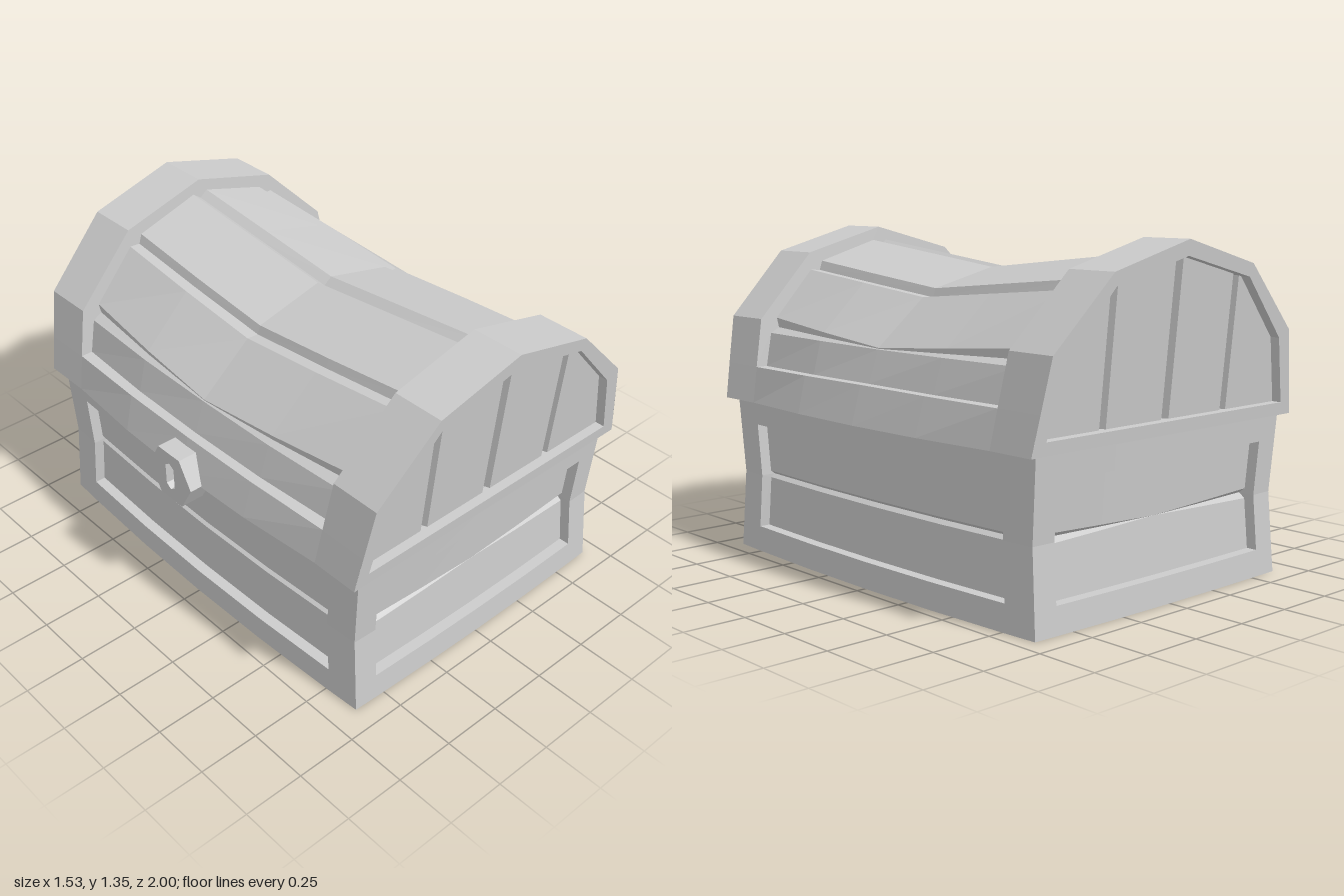
import * as THREE from 'three';

const material = new THREE.MeshStandardMaterial({ color: 0xcccccc, flatShading: true, side: THREE.DoubleSide });
const lerp = THREE.MathUtils.lerp;

// Faceted patch from a rule point(i, j); collapsed triangles are left out
function grid(cols, rows, point) {
  const pos = [];
  const tri = (...p) => {
    const [a, b, c] = p.map((q) => new THREE.Vector3(...q));
    if (b.sub(a).cross(c.sub(a)).length() > 1e-7) pos.push(...p.flat());
  };
  for (let i = 0; i < cols - 1; i++) {
    for (let j = 0; j < rows - 1; j++) {
      const a = point(i, j), b = point(i + 1, j), c = point(i + 1, j + 1), d = point(i, j + 1);
      tri(a, b, c);
      tri(a, c, d);
    }
  }
  const geo = new THREE.BufferGeometry();
  geo.setAttribute('position', new THREE.Float32BufferAttribute(pos, 3));
  geo.computeVertexNormals();
  return geo;
}

function add(parent, name, geo, turn = 0) {
  const mesh = new THREE.Mesh(geo, material);
  mesh.name = name;
  mesh.rotation.y = turn;
  parent.add(mesh);
  return mesh;
}

// Flat underside spanning half an outline and its half-turn copy
function underside(half) {
  const ring = [...half, ...half.map(([x, y, z]) => [-x, y, -z]), half[0]];
  return grid(ring.length, 2, (i, j) => (j ? ring[i] : [0, ring[0][1], 0]));
}

// ---- Body: four bulging walls, each with a sunken, grooved panel ----
const waist = (y) => Math.abs(y - 0.32) / 0.32;
const halfWidth = (y) => 0.65 + 0.01 * waist(y);
const halfLength = (y) => 0.88 + 0.025 * waist(y);
const endWall = (u, y, d) => [u * halfWidth(y), y, halfLength(y) + 0.012 * (1 - u * u) - d];
const sideWall = (u, y, d) => [halfWidth(y) + 0.032 * (1 - u * u) - d, y, -u * halfLength(y)];
const WALL_U = [-1, -0.845, -0.845, -0.42, 0, 0.42, 0.845, 0.845, 1];
const WALL_Y = [0, 0.105, 0.105, 0.325, 0.325, 0.325, 0.54, 0.54, 0.64];

function wallGeometry(wall, grooveAt) {
  return grid(WALL_U.length, WALL_Y.length, (i, j) => {
    const u = WALL_U[i];
    const inside = i > 1 && i < 7 && j > 1 && j < 7;
    const groove = inside ? grooveAt(u) : 0;
    const y = WALL_Y[j] + (j > 2 && j < 6 ? (j - 4) * 0.02 * groove : 0);
    return wall(u, y, inside ? 0.045 + (j === 4 ? 0.025 * groove : 0) : 0);
  });
}

function buildBody() {
  const body = new THREE.Group();
  body.name = 'body';
  const endGeo = wallGeometry(endWall, (u) => Math.abs(u) / 0.845);
  const sideGeo = wallGeometry(sideWall, () => 0.7);
  add(body, 'frontWall', endGeo);
  add(body, 'backWall', endGeo, Math.PI);
  add(body, 'leftWall', sideGeo);
  add(body, 'rightWall', sideGeo, Math.PI);
  add(body, 'floor', underside([
    ...WALL_U.map((u) => endWall(u, 0, 0)),
    ...WALL_U.map((u) => sideWall(u, 0, 0)),
  ]));
  return body;
}

// ---- Lid: arched end bands, side rims and sagging planks between ----
const mirrored = (pts) => [...pts.map(([x, y]) => [-x, y]), ...pts.slice(0, -1).reverse()];
const BAND = mirrored([[0.705, 0.64], [0.678, 0.785], [0.64, 0.98], [0.375, 1.245], [0, 1.345]]);
const RIM_MID = [[0.743, 0.64], [0.7, 0.79]];
const PLANK_END = mirrored([[0.628, 0.785], [0.588, 0.955], [0.35, 1.198], [0, 1.298]]);
const PLANK_MID = mirrored([[0.66, 0.79], [0.615, 0.92], [0.365, 1.125], [0, 1.213]]);
const lidLength = (y) => 0.93 + 0.07 * (y - 0.64) / 0.705;
const LID_U = [-1, -0.78, -0.78, -0.39, 0, 0.39, 0.78, 0.78, 1];
const sag = (u) => Math.max(0, 1 - Math.abs(u) / 0.78);
const bulge = (u) => 1 - (1 - sag(u)) ** 2;
const blend = (a, b, u) => [lerp(a[0], b[0], bulge(u)), lerp(a[1], b[1], sag(u))];

// Plank cross-section at u, with a V groove at every corner of the arch
function plankProfile(u) {
  const pts = PLANK_END.map((p, k) => blend(p, PLANK_MID[k], u));
  const toward = (a, b, d) => {
    const f = d / Math.hypot(b[0] - a[0], b[1] - a[1]);
    return [lerp(a[0], b[0], f), lerp(a[1], b[1], f)];
  };
  return pts.flatMap((p, k) => {
    if (k === 0 || k === 6) return [p];
    const size = k === 1 || k === 5 ? 1 - 0.9 * sag(u) : 1;
    return [toward(p, pts[k - 1], 0.036 * size), toward(p, [0, 0.7], 0.035 * size), toward(p, pts[k + 1], 0.036 * size)];
  });
}

function lidShell() {
  const last = BAND.length - 1;
  const outer = BAND.flatMap((p, k) => (k === 0 || k === last ? [p] : k === 1 || k === last - 1 ? [p, p] : [p, p, p]));
  const n = outer.length;
  const profiles = LID_U.map(plankProfile);
  return grid(LID_U.length, n, (i, j) => {
    const u = LID_U[i];
    let p = outer[j];
    if (i > 1 && i < 7) {
      if (j > 1 && j < n - 2) p = profiles[i][j - 2];
      else {
        const rim = RIM_MID[Math.min(j, n - 1 - j)];
        p = blend(p, [Math.sign(p[0]) * rim[0], rim[1]], u);
      }
    }
    return [p[0], p[1], u * lidLength(p[1])];
  });
}

// End of the lid: arched frame, then recessed boards split by grooves
const ARCH = mirrored([[0.64, 0.69], [0.583, 0.95], [0.36, 1.195], [0, 1.285]]);
function archFrame() {
  const outer = BAND.filter((p, k) => k !== 1 && k !== BAND.length - 2).reverse();
  const inner = [...ARCH].reverse();
  return grid(8, 3, (i, j) => {
    const [x, y] = (j ? inner : outer)[i % 7];
    return [x, y, lidLength(y) - (j === 2 ? 0.08 : 0)];
  });
}

function archHeight(x) {
  const k = Math.max(1, ARCH.findIndex((p) => p[0] >= x));
  const [a, b] = [ARCH[k - 1], ARCH[k]];
  return lerp(a[1], b[1], (x - a[0]) / (b[0] - a[0]));
}

function archBoards() {
  const half = [[0.64, 0], [0.583, 0], [0.36, 0], [0.346, 0], [0.335, 1], [0.325, 1], [0.312, 0], [0.02, 0], [0.008, 1]];
  const cols = [...half.map(([x, g]) => [-x, g]), ...half.reverse()];
  return grid(cols.length, 2, (i, j) => {
    const [x, groove] = cols[i];
    const y = j ? archHeight(x) : 0.69;
    return [x, y, lidLength(y) - 0.04 - 0.03 * groove];
  });
}

function buildLid() {
  const lid = new THREE.Group();
  lid.name = 'lid';
  add(lid, 'lidShell', lidShell());
  const frame = archFrame(), boards = archBoards();
  [['front', 0], ['back', Math.PI]].forEach(([end, turn]) => {
    add(lid, end + 'ArchFrame', frame, turn);
    add(lid, end + 'ArchBoards', boards, turn);
  });
  add(lid, 'lidUnderside', underside(
    LID_U.map((u) => [lerp(0.705, 0.743, bulge(u)), 0.64, -u * lidLength(0.64)]),
  ));
  return lid;
}

// ---- Latch: hexagonal plate with an upright slot ----
function latchGeometry() {
  const hex = Array.from({ length: 6 }, (_, k) => {
    const a = k * Math.PI / 3;
    return new THREE.Vector2(0.128 * Math.cos(a), 0.127 * Math.sin(a));
  });
  const shape = new THREE.Shape(hex);
  const slot = [[0.025, -0.045], [0, -0.062], [-0.025, -0.045], [-0.025, 0.045], [0, 0.062], [0.025, 0.045]];
  shape.holes.push(new THREE.Path(slot.map((p) => new THREE.Vector2(...p))));
  return new THREE.ExtrudeGeometry(shape, { depth: 0.1, bevelEnabled: false }).rotateY(-Math.PI / 2);
}

export function createModel() {
  const model = new THREE.Group();
  model.name = 'chest';
  const chest = new THREE.Group();
  chest.name = 'chestParts';
  chest.position.x = 0.02;
  chest.add(buildBody(), buildLid());
  add(chest, 'latch', latchGeometry()).position.set(-0.69, 0.645, -0.005);
  model.add(chest);
  return model;
}
